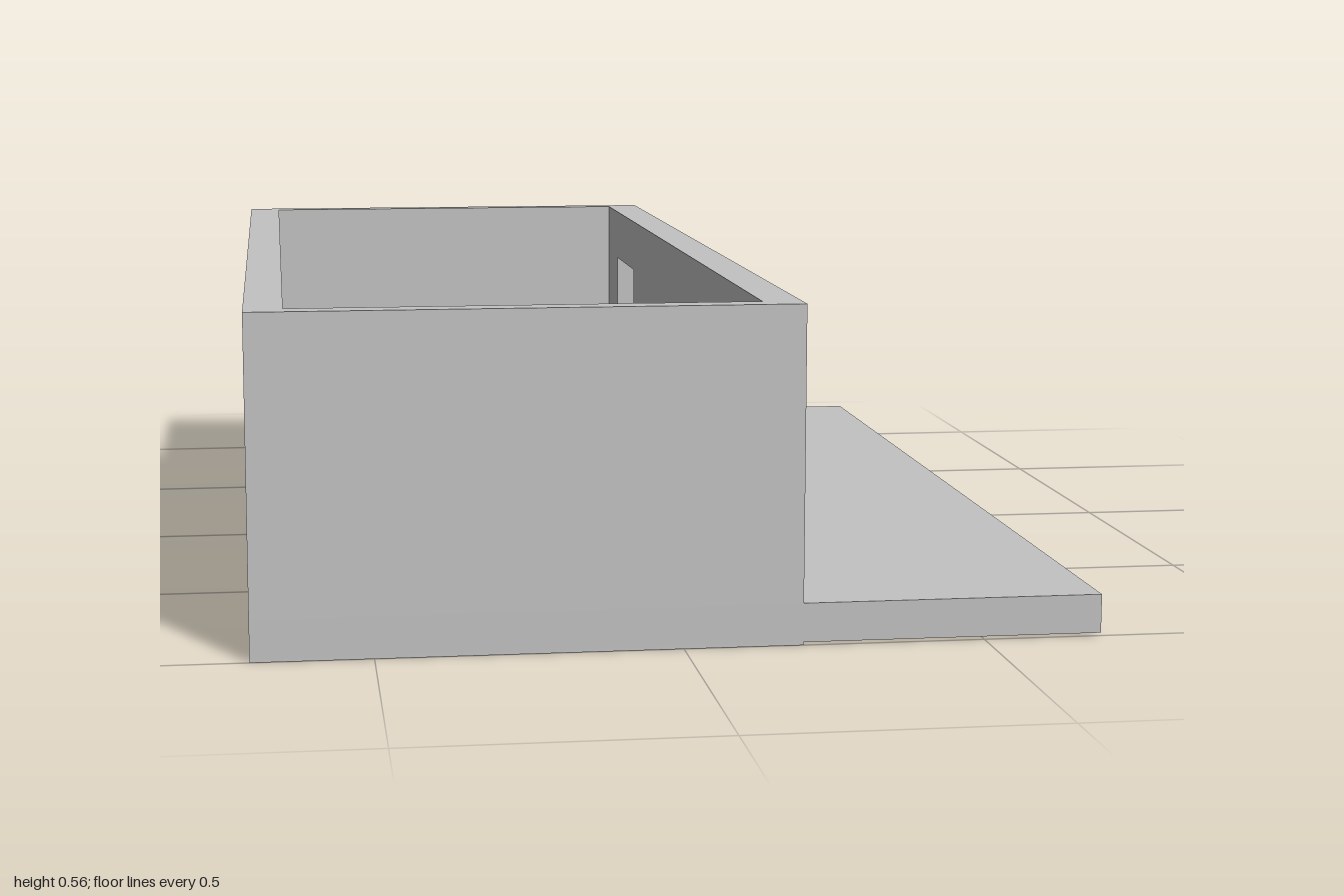
import * as THREE from 'three';
import { mergeVertices } from 'three/addons/utils/BufferGeometryUtils.js';

export function createModel() {
  const model = new THREE.Group();
  const grey = new THREE.MeshStandardMaterial({ color: 0xc2c2c2 });
  grey.name = 'plain grey';

  const add = (name, geometry) => {
    const mesh = new THREE.Mesh(geometry, grey);
    mesh.name = name;
    model.add(mesh);
    return mesh;
  };

  // Box given by its lower and upper corners
  const boxBetween = ([x0, y0, z0], [x1, y1, z1]) =>
    new THREE.BoxGeometry(x1 - x0, y1 - y0, z1 - z0)
      .translate((x0 + x1) / 2, (y0 + y1) / 2, (z0 + z1) / 2);

  const left = -0.698, right = 0.698, houseRight = 0.197;
  const wallTop = 0.56, floorTop = 0.07, floorBottom = 0.005;

  // Floor slab, running out beyond the room as a terrace
  add('floorSlab', boxBetween([left, floorBottom, -1], [right, floorTop, 1]));

  // Solid walls
  add('frontWall', boxBetween([left, 0, 0.957], [houseRight, wallTop, 1]));
  add('backWall', boxBetween([left, 0, -1], [houseRight, wallTop, -0.965]));
  add('sideWall', boxBetween([left, 0.004, -0.965], [-0.635, wallTop, 0.957]));

  // Terrace wall with a doorway, drawn along -z and extruded along x
  const wall = new THREE.Shape([
    [-0.957, 0.004], [0.965, 0.004], [0.965, wallTop], [-0.957, wallTop],
  ].map(([u, y]) => new THREE.Vector2(u, y)));
  wall.holes.push(new THREE.Path([
    [0.55, floorTop - 0.002], [0.55, 0.455], [0.815, 0.455], [0.815, floorTop - 0.002],
  ].map(([u, y]) => new THREE.Vector2(u, y))));
  const doorWall = new THREE.ExtrudeGeometry(wall, { depth: houseRight - 0.132, bevelEnabled: false });
  add('doorWall', doorWall.rotateY(Math.PI / 2).translate(0.132, 0, 0));

  // Block in the corner, shaded smoothly across its shared corners
  let block = boxBetween([-0.59, 0.001, 0.5], [-0.3, 0.38, 0.957]);
  block.deleteAttribute('normal');
  block.deleteAttribute('uv');
  block = mergeVertices(block);
  block.computeVertexNormals();
  add('cornerBlock', block);

  return model;
}
